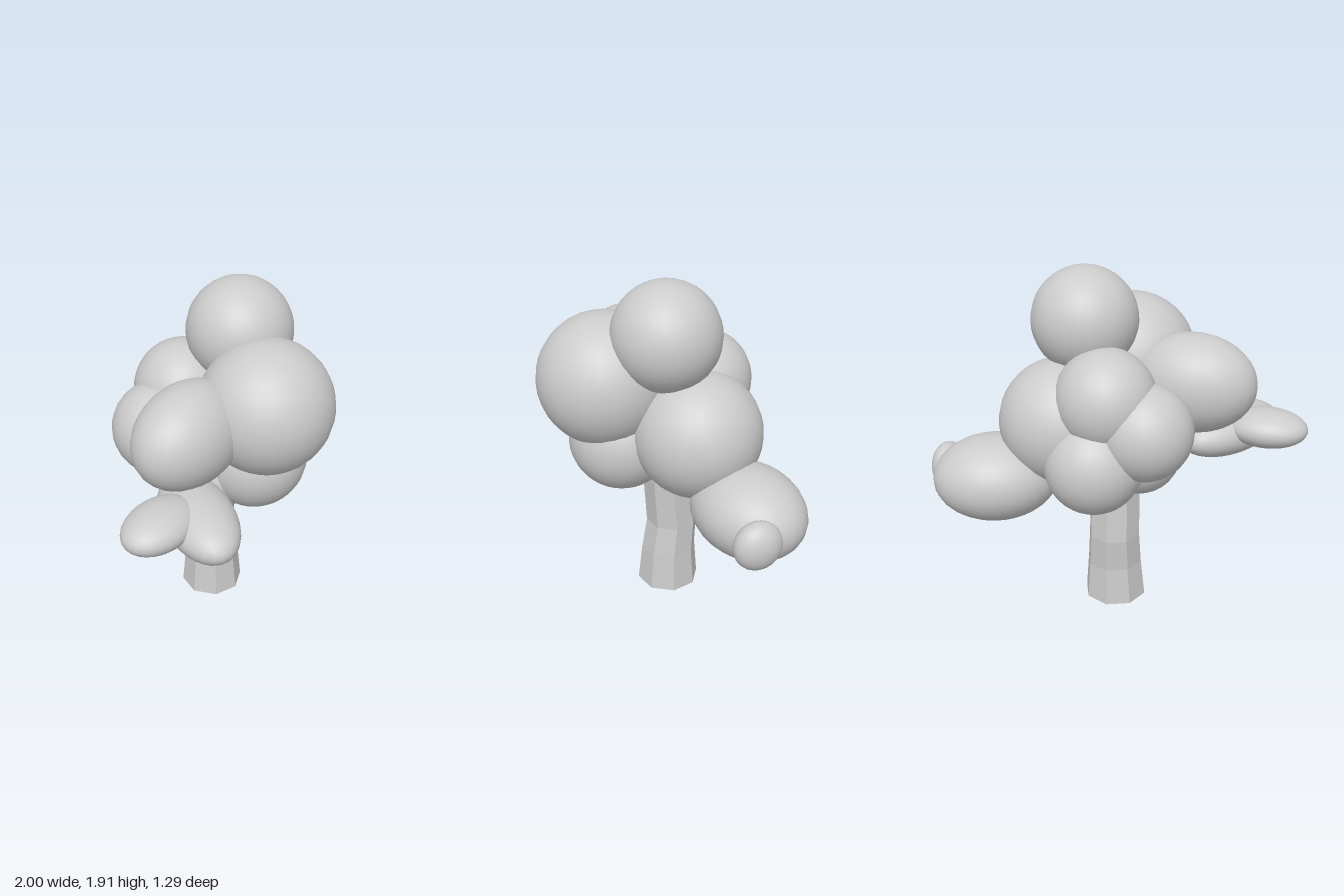
import * as THREE from 'three';

const barkMaterial = new THREE.MeshStandardMaterial({ color: 0xcccccc, flatShading: true });
const leafMaterial = new THREE.MeshStandardMaterial({ color: 0xcccccc });

// Foliage clumps: name, centre, radii, turn about y
const CLUMPS = [
  ['crownTop', [0.19, 1.627, -0.01], [0.288, 0.288, 0.288], 0],
  ['crownFront', [0.015, 1.345, 0.285], [0.36, 0.36, 0.36], 0],
  ['crownRight', [-0.38, 1.3, 0.085], [0.35, 0.272, 0.245], 0],
  ['crownLeft', [0.27, 1.1, -0.165], [0.345, 0.345, 0.345], 0],
  ['crownFrontLow', [0.038, 1.0, 0.2], [0.29, 0.29, 0.29], 0],
  ['crownUnderside', [-0.11, 0.89, 0], [0.237, 0.237, 0.237], 0],
  ['crownBackHigh', [0, 1.285, -0.25], [0.27, 0.275, 0.27], 0],
  ['crownBackRight', [-0.21, 1.13, -0.25], [0.26, 0.26, 0.26], 0],
  ['crownBackLow', [0.04, 0.95, -0.332], [0.265, 0.27, 0.265], 0],
  ['leftBranchClump', [0.595, 0.805, -0.355], [0.34, 0.235, 0.275], 0.4],
  ['leftBranchTip', [0.905, 0.805, -0.31], [0.09, 0.132, 0.128], 0.15],
  ['rightBranchOuterClump', [-0.775, 1.035, 0.21], [0.228, 0.105, 0.16], 0],
  ['rightBranchFrontClump', [-0.56, 0.978, 0.275], [0.349, 0.138, 0.185], 1.0],
];

// Trunk rings: height, radius, centre x, centre z
const TRUNK = [
  [0, 0.178, 0.007, -0.068],
  [0.22, 0.158, 0.01, -0.07],
  [0.41, 0.147, 0.005, -0.09],
  [0.7, 0.143, 0.008, -0.066],
  [1.05, 0.11, 0.02, -0.04],
];

// Branches: name, start, end, start radius, end radius
const BRANCHES = [
  ['leftBranch', [0.06, 0.66, -0.1], [0.56, 0.82, -0.34], 0.07, 0.035],
  ['rightBranch', [-0.04, 0.8, 0], [-0.55, 0.96, 0.24], 0.07, 0.03],
  ['upperBranch', [0.02, 1.0, -0.04], [0.17, 1.5, -0.02], 0.1, 0.04],
];

function makeTrunk() {
  const rows = TRUNK.length - 1;
  const geometry = new THREE.CylinderGeometry(1, 1, 1, 8, rows);
  const p = geometry.attributes.position;
  // Fit every ring of the cylinder to its place in the profile
  for (let i = 0; i < p.count; i++) {
    const [y, r, cx, cz] = TRUNK[Math.round((p.getY(i) + 0.5) * rows)];
    p.setXYZ(i, cx + r * p.getX(i), y, cz + r * p.getZ(i));
  }
  geometry.computeVertexNormals();
  const mesh = new THREE.Mesh(geometry, barkMaterial);
  mesh.name = 'trunk';
  return mesh;
}

function makeBranch([name, from, to, r0, r1]) {
  const a = new THREE.Vector3(...from);
  const b = new THREE.Vector3(...to);
  const direction = b.clone().sub(a);
  const mesh = new THREE.Mesh(new THREE.CylinderGeometry(r1, r0, direction.length(), 6), barkMaterial);
  mesh.position.copy(a).add(b).multiplyScalar(0.5);
  mesh.quaternion.setFromUnitVectors(new THREE.Vector3(0, 1, 0), direction.normalize());
  mesh.name = name;
  return mesh;
}

export function createModel() {
  const tree = new THREE.Group();
  tree.name = 'tree';
  tree.add(makeTrunk());
  for (const branch of BRANCHES) tree.add(makeBranch(branch));

  // Rounded crown built from overlapping stretched spheres
  const foliage = new THREE.Group();
  foliage.name = 'foliage';
  const ball = new THREE.SphereGeometry(1, 28, 20);
  for (const [name, centre, radii, turn] of CLUMPS) {
    const clump = new THREE.Mesh(ball, leafMaterial);
    clump.name = name;
    clump.position.set(...centre);
    clump.scale.set(...radii);
    clump.rotation.y = turn;
    foliage.add(clump);
  }
  tree.add(foliage);
  return tree;
}
